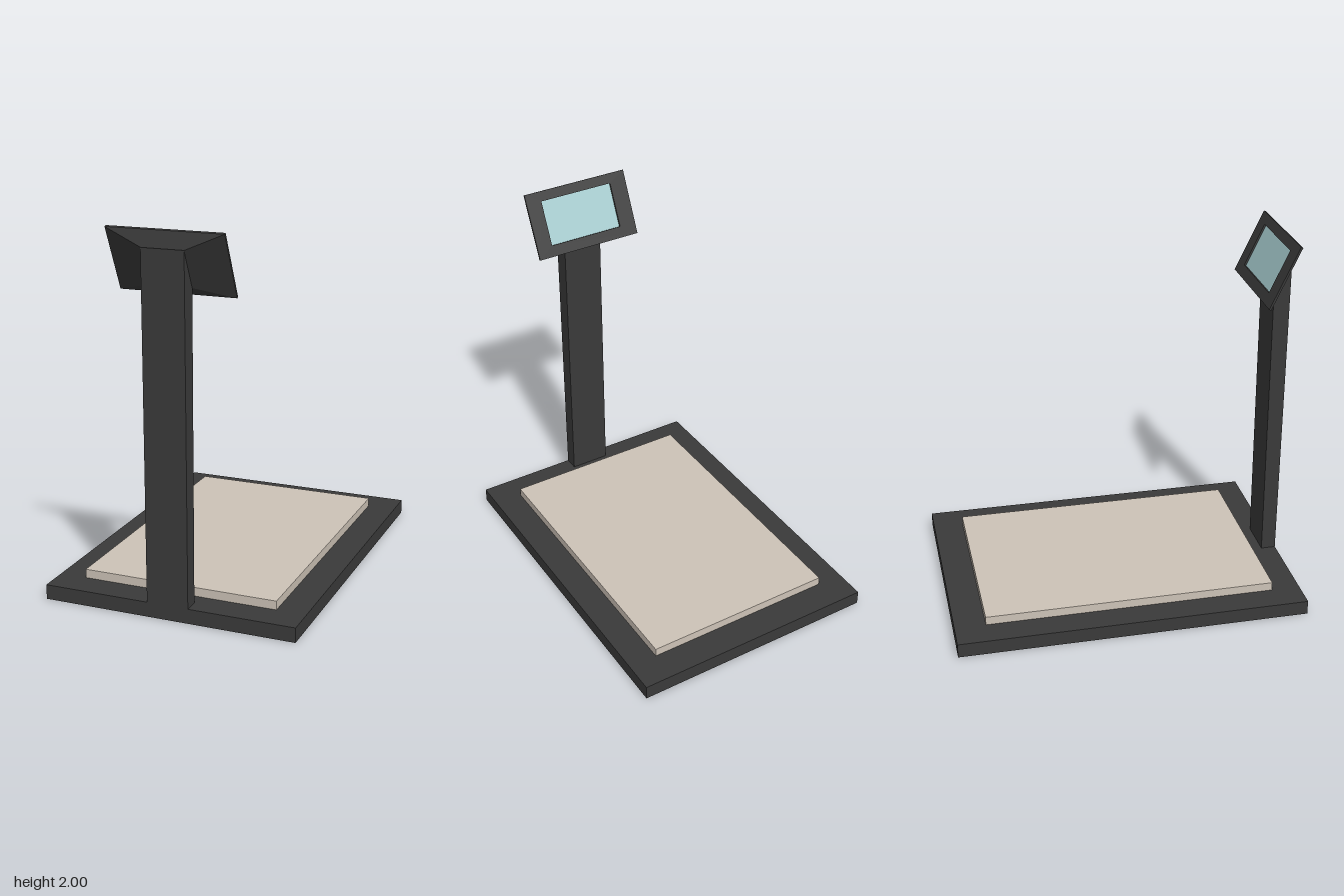
import * as THREE from 'three';

const DARK = 0x3a3a3a, PLATE = 0xcdc3b7, SCREEN = 0xa6cccf;

function part(name, geometry, color) {
  const mesh = new THREE.Mesh(geometry, new THREE.MeshStandardMaterial({ color, flatShading: true }));
  mesh.name = name;
  return mesh;
}

// Box given by its lower and upper corners
function boxBetween(name, [x0, y0, z0], [x1, y1, z1], color) {
  const mesh = part(name, new THREE.BoxGeometry(x1 - x0, y1 - y0, z1 - z0), color);
  mesh.position.set((x0 + x1) / 2, (y0 + y1) / 2, (z0 + z1) / 2);
  return mesh;
}

function rectPoints(x0, y0, x1, y1) {
  return [[x0, y0], [x1, y0], [x1, y1], [x0, y1]].map(p => new THREE.Vector2(...p));
}

export function createModel() {
  const model = new THREE.Group();
  model.name = 'platformScale';

  model.add(boxBetween('base', [-0.695, 0, -0.967], [0.695, 0.08, 0.967], DARK));
  model.add(boxBetween('weighingPlate', [-0.545, 0.08, -0.797], [0.535, 0.128, 0.807], PLATE));

  // Post: side profile (z, y) with a slanted top, extruded across x
  const profile = new THREE.Shape([[0.885, 0.08], [0.967, 0.08], [0.967, 1.91], [0.875, 1.71]]
    .map(p => new THREE.Vector2(...p)));
  const postGeometry = new THREE.ExtrudeGeometry(profile, { depth: 0.228, bevelEnabled: false });
  postGeometry.rotateY(-Math.PI / 2);
  const post = part('post', postGeometry, DARK);
  post.position.x = 0.118;
  model.add(post);

  // Display head: local y runs up the slope, local z points to the rear of the panel
  const head = new THREE.Group();
  head.name = 'displayHead';
  head.position.set(0.006, 1.667, 0.785);
  head.rotation.x = 0.436;
  model.add(head);

  const halfWidth = 0.312, height = 0.367, thickness = 0.012;
  const frame = new THREE.Shape(rectPoints(-halfWidth, 0, halfWidth, height));
  frame.holes.push(new THREE.Path(rectPoints(-0.214, 0.062, 0.222, 0.312)));
  head.add(part('displayFrame',
    new THREE.ExtrudeGeometry(frame, { depth: thickness, bevelEnabled: false }), DARK));

  // Housing narrows from the frame to the width of the post
  const housingGeometry = new THREE.BoxGeometry(1, 1, 1);
  const pos = housingGeometry.attributes.position;
  for (let i = 0; i < pos.count; i++) {
    const rear = pos.getZ(i) > 0, top = pos.getY(i) > 0;
    pos.setXYZ(i,
      Math.sign(pos.getX(i)) * (rear ? 0.114 : halfWidth),
      rear ? (top ? 0.297 : 0.079) : (top ? height : 0),
      rear ? 0.064 : thickness);
  }
  housingGeometry.computeVertexNormals();
  head.add(part('displayHousing', housingGeometry, DARK));

  // Recessed screen
  const screen = part('screen', new THREE.PlaneGeometry(0.436, 0.25), SCREEN);
  screen.rotation.y = Math.PI;
  screen.position.set(0.004, 0.187, thickness - 0.001);
  head.add(screen);

  return model;
}
